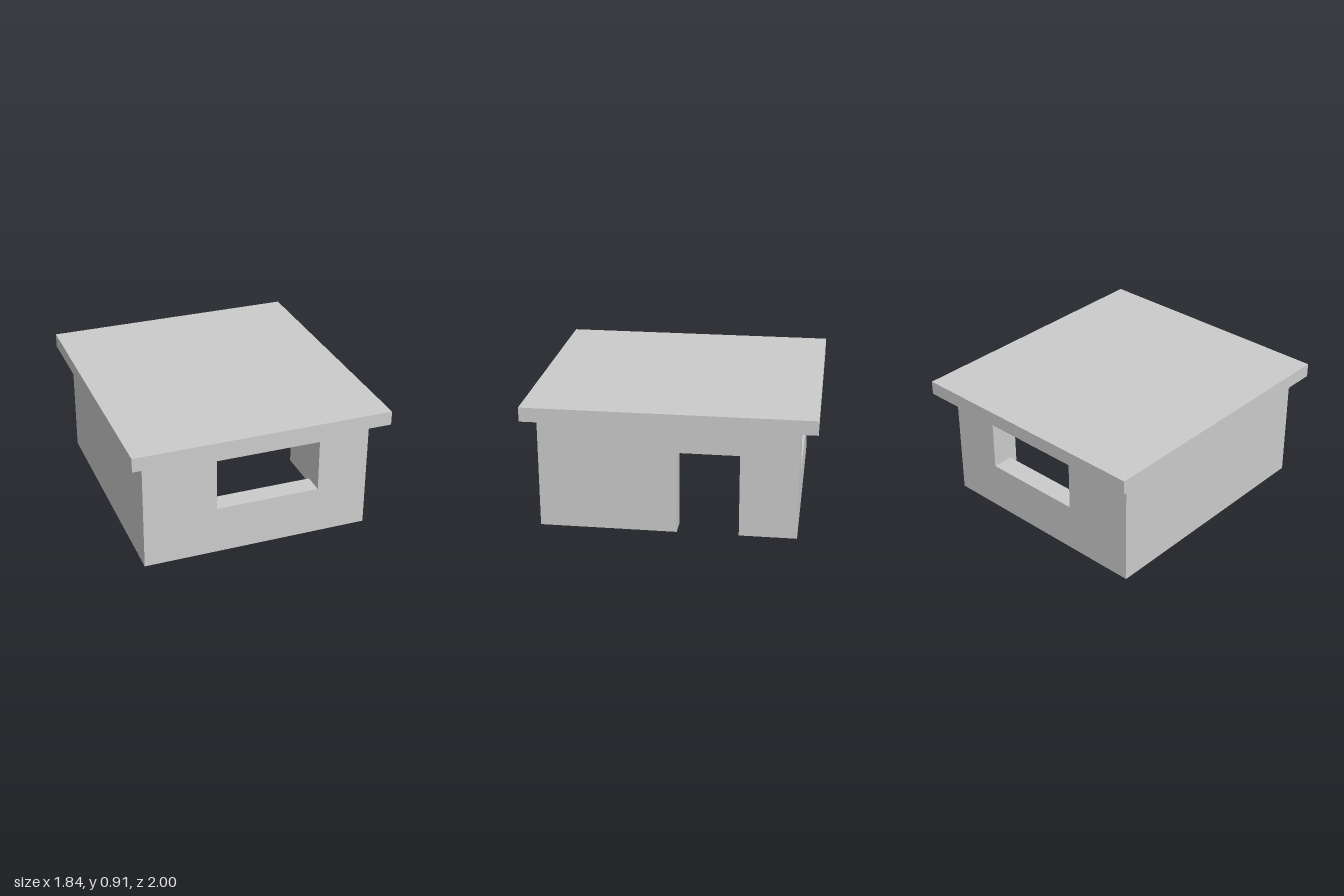
import * as THREE from 'three';

const material = new THREE.MeshStandardMaterial({ color: 0xcccccc, flatShading: true });

// Outer wall limits, wall thickness and wall height
const X0 = -0.83, X1 = 0.80, Z0 = -0.88, Z1 = 0.91, T = 0.15, H = 0.81;

function rectPoints(u0, v0, u1, v1) {
  return [[u0, v0], [u1, v0], [u1, v1], [u0, v1]].map(([u, v]) => new THREE.Vector2(u, v));
}

function addMesh(group, name, geometry) {
  const mesh = new THREE.Mesh(geometry, material);
  mesh.name = name;
  group.add(mesh);
  return mesh;
}

// Wall panel drawn in its own plane and extruded by the wall thickness
function wallGeometry(outline, holes = []) {
  const shape = new THREE.Shape(outline);
  holes.forEach((h) => shape.holes.push(new THREE.Path(h)));
  return new THREE.ExtrudeGeometry(shape, { depth: T, bevelEnabled: false });
}

export function createModel() {
  const house = new THREE.Group();
  house.name = 'house';

  // Front and back walls, each with the same wide window opening
  for (const [name, z] of [['frontWall', Z1 - T], ['backWall', Z0]]) {
    const geometry = wallGeometry(
      rectPoints(X0 + T, 0, X1, H),
      [rectPoints(-0.31, 0.345, 0.435, 0.72)]
    );
    addMesh(house, name, geometry).position.z = z;
  }

  // Solid side wall running the full depth
  const solid = new THREE.BoxGeometry(T, H, Z1 - Z0);
  addMesh(house, 'solidSideWall', solid).position.set(X0 + T / 2, H / 2, (Z0 + Z1) / 2);

  // Side wall with doorway, fitted between front and back walls (u runs along -z)
  const doorOutline = [
    [-Z1 + T, 0], [0.05, 0], [0.05, 0.59], [0.48, 0.59], [0.48, 0],
    [-Z0 - T, 0], [-Z0 - T, H], [-Z1 + T, H],
  ].map(([u, v]) => new THREE.Vector2(u, v));
  const doorWall = addMesh(house, 'doorSideWall', wallGeometry(doorOutline));
  doorWall.rotation.y = Math.PI / 2;
  doorWall.position.x = X1 - T;

  // Flat overhanging roof slab
  addMesh(house, 'roof', new THREE.BoxGeometry(1.84, 0.1, 2)).position.y = H + 0.05;

  return house;
}
